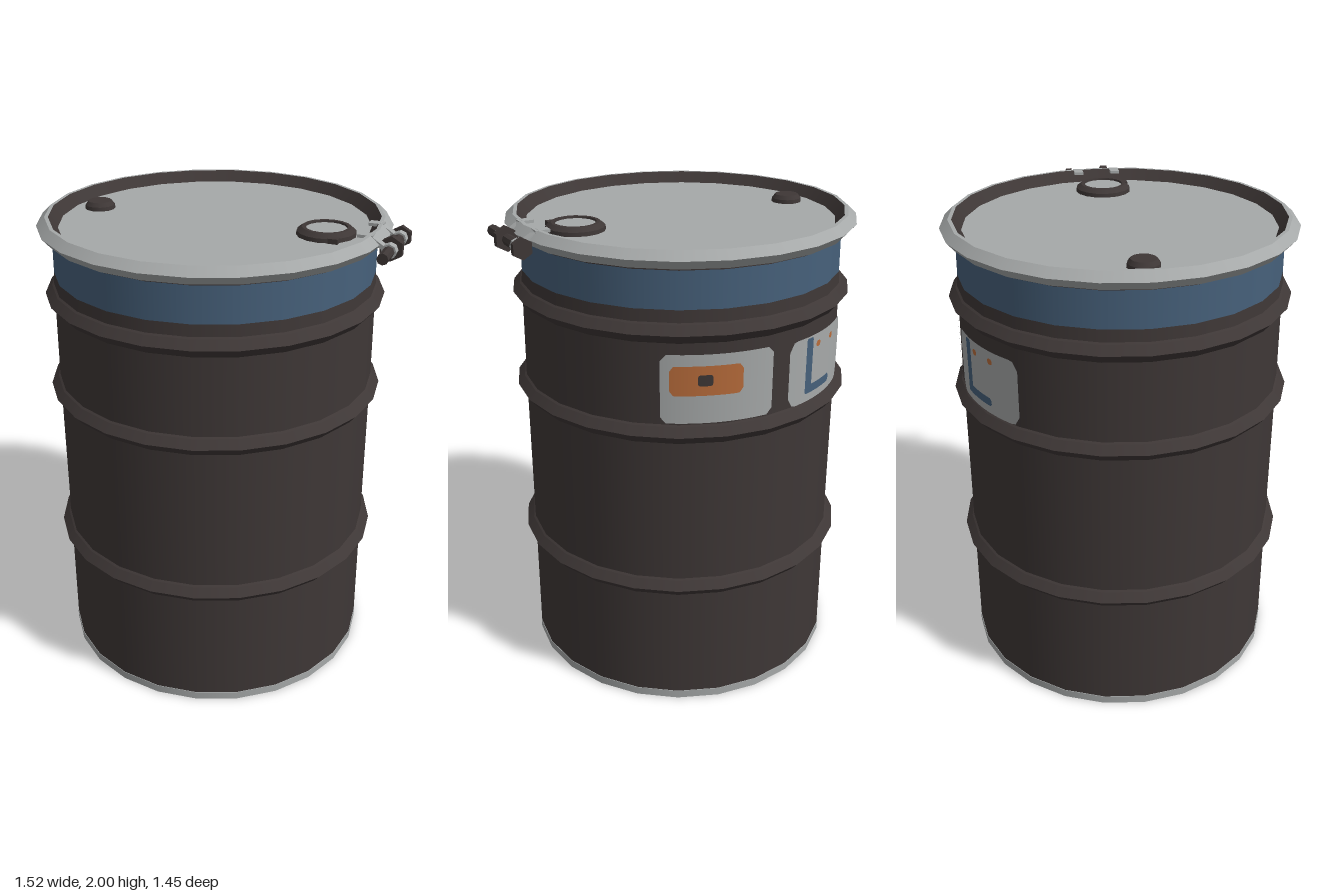
import * as THREE from 'three';
import { mergeGeometries } from 'three/addons/utils/BufferGeometryUtils.js';

const mat = (name, color) => Object.assign(new THREE.MeshStandardMaterial({ color }), { name });
const SIDES = 24;
const CENTRE_X = -0.035;

// Ring of revolution: smooth around, crisp at every profile point
function ringGeometry(profile, sides = SIDES) {
  const bands = [];
  for (let i = 0; i < profile.length - 1; i++) {
    const pts = [profile[i], profile[i + 1]].map(([r, y]) => new THREE.Vector2(r, y));
    bands.push(new THREE.LatheGeometry(pts, sides));
  }
  return mergeGeometries(bands);
}

// Thin rounded patch wrapped on the drum wall; angles in degrees from the back towards +x
function patchGeometry(a0, a1, y0, y1, radius, corner) {
  const geo = new THREE.PlaneGeometry(1, 1, 20, 1);
  const pos = geo.attributes.position;
  const nor = geo.attributes.normal;
  const width = THREE.MathUtils.degToRad(a1 - a0) * radius;
  for (let i = 0; i < pos.count; i++) {
    const u = pos.getX(i) + 0.5;
    const top = pos.getY(i) > 0;
    const edge = Math.min(u, 1 - u) * width;
    const k = Math.max(0, corner - edge);
    const inset = corner - Math.sqrt(Math.max(0, corner * corner - k * k));
    const phi = Math.PI - THREE.MathUtils.degToRad(a1 + (a0 - a1) * u);
    pos.setXYZ(i, Math.sin(phi) * radius, top ? y1 - inset : y0 + inset, Math.cos(phi) * radius);
    nor.setXYZ(i, Math.sin(phi), 0, Math.cos(phi));
  }
  return geo;
}

export function createModel() {
  const brown = mat('dark brown steel', 0x3e3736);
  const grey = mat('light grey metal', 0xa6a9a9);
  const blue = mat('blue paint', 0x46607a);
  const orange = mat('orange print', 0xb86c3b);

  const model = new THREE.Group();
  model.name = 'steelDrum';
  const drum = new THREE.Group();
  drum.name = 'drum';
  drum.position.x = CENTRE_X;
  model.add(drum);

  const add = (parent, name, geo, material, x = 0, y = 0, z = 0) => {
    const mesh = new THREE.Mesh(geo, material);
    mesh.name = name;
    mesh.position.set(x, y, z);
    parent.add(mesh);
    return mesh;
  };

  // Wall with three rolling hoops
  const wall = [[0.681, 0.035]];
  for (const [y, r] of [[0.575, 0.678], [1.272, 0.676], [1.682, 0.672]]) {
    wall.push([r, y - 0.04], [r + 0.008, y - 0.034], [r + 0.037, y], [r + 0.008, y + 0.034], [r, y + 0.04]);
  }
  wall.push([0.668, 1.77]);
  add(drum, 'wall', ringGeometry(wall), brown);
  add(drum, 'blueBand', ringGeometry([[0.668, 1.77], [0.666, 1.918]]), blue);
  add(drum, 'neck', ringGeometry([[0.666, 1.918], [0.666, 1.935]]), brown);

  // Bottom chime and recessed base
  add(drum, 'bottomBand', ringGeometry([[0.683, 0], [0.683, 0.035], [0.678, 0.036]]), grey);
  add(drum, 'base', ringGeometry([[0, 0.09], [0.625, 0.09], [0.668, 0], [0.683, 0]]), brown);

  // Lid, its dark inner wall and the clamping ring
  add(drum, 'clampRing', ringGeometry([[0.664, 1.926], [0.692, 1.93], [0.725, 1.967], [0.69, 2], [0.675, 2]]), grey);
  add(drum, 'lidWall', ringGeometry([[0.675, 2], [0.638, 1.955]]), brown);
  add(drum, 'lid', ringGeometry([[0.64, 1.956], [0, 1.956]]), grey);

  // Bungs
  add(drum, 'largeBungCollar', ringGeometry([[0.12, 1.956], [0.118, 1.972], [0.098, 1.988], [0.084, 1.988], [0.082, 1.978]], 16), brown, 0.475);
  add(drum, 'largeBungCap', ringGeometry([[0.084, 1.98], [0, 1.98]], 16), grey, 0.475);
  add(drum, 'bungTab', new THREE.BoxGeometry(0.04, 0.02, 0.03), brown, 0.535, 1.966, 0.102);
  add(drum, 'smallBung', ringGeometry([[0.064, 1.956], [0.062, 1.972], [0.05, 1.988], [0, 1.988]], 12), brown, -0.53);

  // Stickers on the back
  const patch = (name, a0, a1, y0, y1, layer, material, corner = 0.01) =>
    add(drum, name, patchGeometry(a0, a1, y0, y1, 0.679 + 0.003 * layer, corner), material);
  patch('hazardSticker', -2, 36, 1.32, 1.6, 0, grey, 0.025);
  patch('hazardPanel', 9, 33, 1.435, 1.555, 1, orange, 0.02);
  patch('hazardMark', 19, 24, 1.475, 1.52, 2, brown, 0.012);
  patch('infoSticker', -46, -9, 1.315, 1.59, 0, grey, 0.04);
  patch('infoStripeUpright', -20.5, -17, 1.35, 1.585, 1, blue);
  patch('infoStripeFoot', -33, -17, 1.35, 1.385, 1, blue);
  patch('infoDot', -25, -22.5, 1.535, 1.56, 1, orange, 0.012);
  patch('infoDot', -34.5, -32, 1.535, 1.56, 1, orange, 0.012);

  // Bolted closure on the +x side
  const closure = new THREE.Group();
  closure.name = 'closure';
  closure.position.set(0.715, 1.945, 0);
  model.add(closure);
  const rod = (name, r, length, z, sides, material) => {
    const geo = new THREE.CylinderGeometry(r, r, length, sides).toNonIndexed();
    geo.computeVertexNormals();
    geo.rotateX(Math.PI / 2);
    add(closure, name, geo, material, 0, 0, z);
  };
  rod('bolt', 0.023, 0.31, 0.035, 8, brown);
  rod('boltHead', 0.043, 0.024, -0.121, 6, brown);
  rod('nut', 0.05, 0.03, 0.042, 6, brown);
  for (const z of [-0.088, 0.077]) {
    rod('lugEye', 0.03, 0.034, z, 8, grey);
    const arm = add(closure, 'lugArm', new THREE.BoxGeometry(0.09, 0.018, 0.034), grey, -0.045, 0.025, z);
    arm.rotation.z = -0.55;
    add(closure, 'lugClip', new THREE.BoxGeometry(0.06, 0.012, 0.04), grey, -0.095, 0.049, z);
  }
  return model;
}
